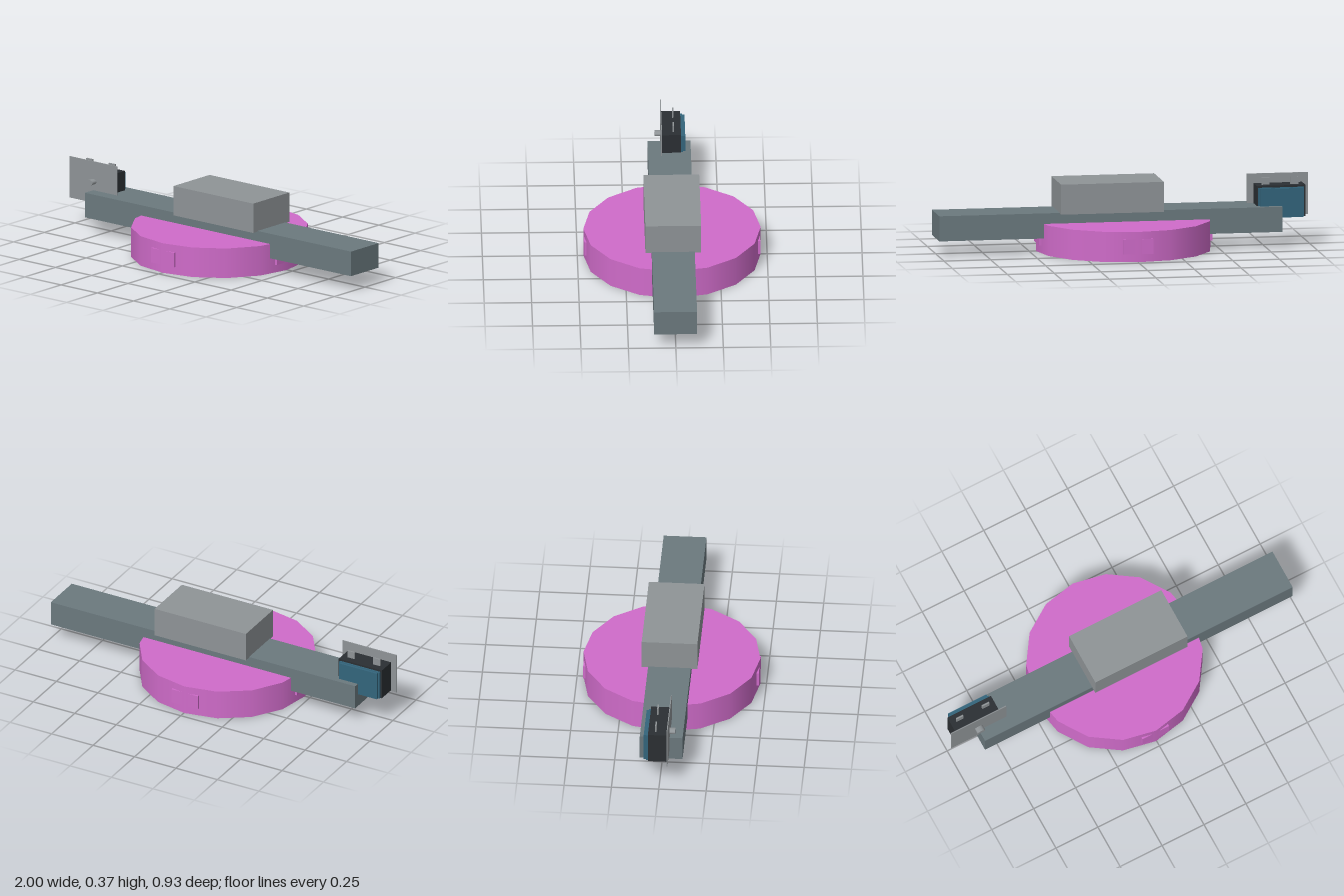
import * as THREE from 'three';

const paint = (color) => new THREE.MeshStandardMaterial({ color });

export function createModel() {
  const model = new THREE.Group();
  const pink = paint(0xd06cca);
  const slate = paint(0x6b797e);
  const grey = paint(0x8f9497);
  const dark = paint(0x2b2f33);
  const blue = paint(0x33657c);

  const add = (name, geometry, material, parent = model) => {
    const mesh = new THREE.Mesh(geometry, material);
    mesh.name = name;
    parent.add(mesh);
    return mesh;
  };
  // Box given by its limits on each axis
  const box = (name, material, [x0, x1], [y0, y1], [z0, z1], parent) => {
    const mesh = add(name, new THREE.BoxGeometry(x1 - x0, y1 - y0, z1 - z0), material, parent);
    mesh.position.set((x0 + x1) / 2, (y0 + y1) / 2, (z0 + z1) / 2);
    return mesh;
  };

  // Sixteen-sided base disc with a shallow pad on each of its four sides
  const base = new THREE.Group();
  base.name = 'base';
  base.position.set(-0.003, 0, 0.001);
  model.add(base);
  add('disc', new THREE.CylinderGeometry(0.467, 0.467, 0.161, 16), pink, base).position.y = 0.0805;
  for (let i = 0; i < 4; i++) {
    const side = new THREE.Group();
    side.name = 'sidePad';
    side.rotation.y = i * Math.PI / 2;
    base.add(side);
    box('pad', pink, [-0.079, 0.079], [0.042, 0.121], [0.435, 0.4635], side);
  }

  // Long beam across the disc and the block on top of it
  box('beam', slate, [-0.835, 1], [0.083, 0.217], [-0.112, 0.114]);
  box('topBlock', grey, [-0.195, 0.355], [0.213, 0.373], [-0.146, 0.148]);

  // Switch unit on the right end of the beam
  const unit = new THREE.Group();
  unit.name = 'switchUnit';
  model.add(unit);
  box('facePlate', grey, [-1, -0.672], [0.149, 0.374], [0.041, 0.046], unit);
  box('housing', dark, [-0.967, -0.707], [0.155, 0.323], [-0.06, 0.041], unit);
  box('innerCover', blue, [-0.958, -0.715], [0.155, 0.313], [-0.07, -0.06], unit);
  box('outerCover', blue, [-0.95, -0.722], [0.155, 0.31], [-0.083, -0.07], unit);
  for (const x of [-0.915, -0.76]) {
    box('terminal', grey, [x - 0.021, x + 0.021], [0.31, 0.362], [-0.024, -0.016], unit);
  }

  // Flattened button on the plate
  const button = add('button', new THREE.CylinderGeometry(0.023, 0.023, 0.034, 12), grey, unit);
  button.rotation.x = Math.PI / 2;
  button.scale.z = 0.62;
  button.position.set(-0.836, 0.264, 0.059);

  return model;
}
